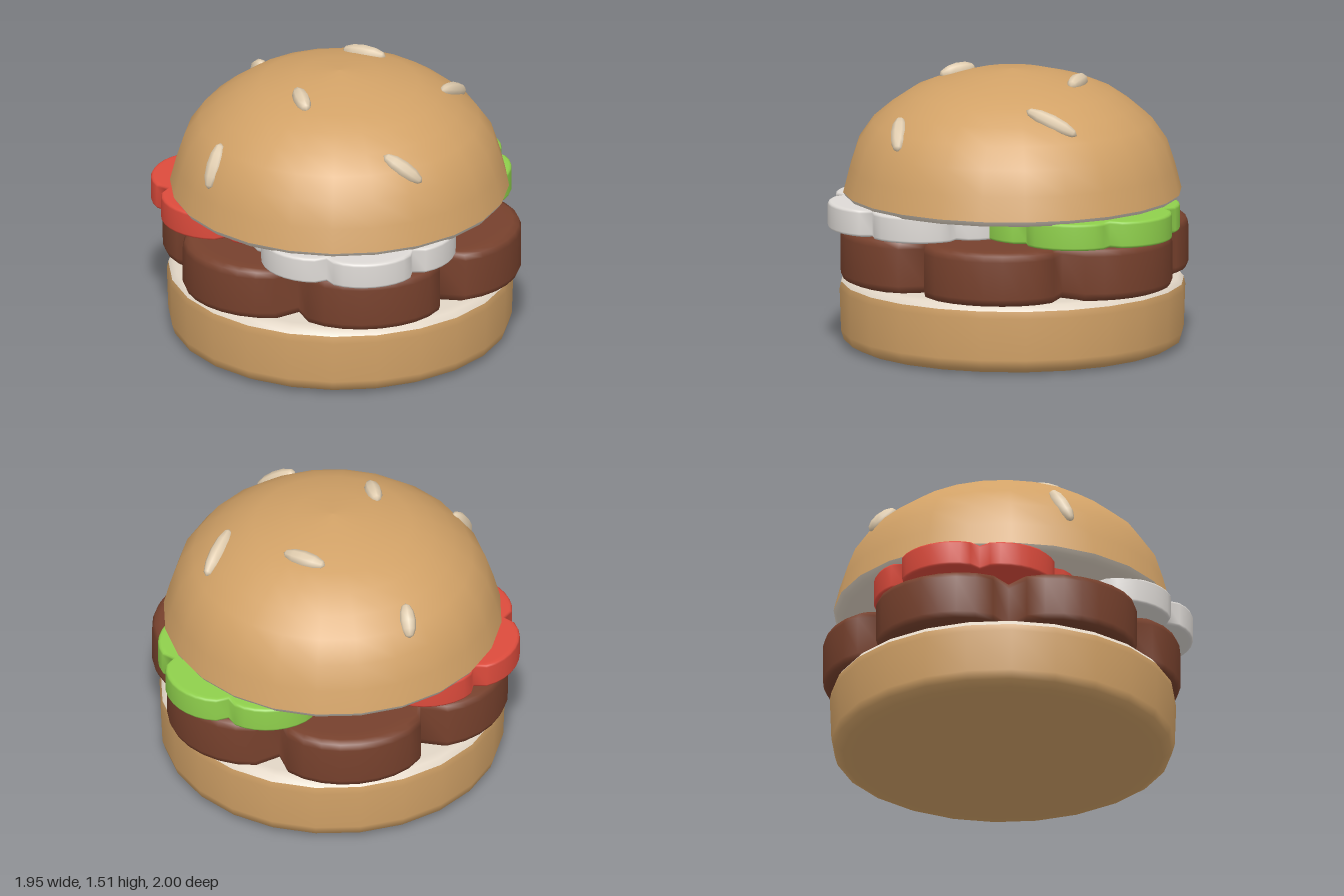
import * as THREE from 'three';
import { mergeVertices } from 'three/addons/utils/BufferGeometryUtils.js';

const material = (name, color) => {
  const m = new THREE.MeshStandardMaterial({ color });
  m.name = name;
  return m;
};

// Turned part from [radius, height] pairs, running bottom to top
function turned(profile, segments) {
  return new THREE.LatheGeometry(profile.map(([r, y]) => new THREE.Vector2(r, y)), segments);
}

// Rounded slab with six scalloped lobes, made by pushing a turned disc in and out
function lobedSlab(radius, y0, y1, bevel, notch) {
  const h = bevel / radius;
  const profile = [
    [0, y0], [1 - 2.2 * h, y0], [1 - h, y0], [1 - 0.3 * h, y0 + bevel * 0.3], [1, y0 + bevel],
    [1, y1 - bevel], [1 - 0.3 * h, y1 - bevel * 0.3], [1 - h, y1], [1 - 2.2 * h, y1], [0, y1],
  ];
  const g = turned(profile, 60);
  g.deleteAttribute('uv');
  g.deleteAttribute('normal');
  const p = g.attributes.position;
  for (let i = 0; i < p.count; i++) {
    const a = Math.atan2(p.getX(i), p.getZ(i));
    const lobe = Math.pow(Math.abs(Math.cos(3 * a)), 0.5);
    const r = radius * (notch + (1 - notch) * lobe);
    p.setX(i, p.getX(i) * r);
    p.setZ(i, p.getZ(i) * r);
  }
  const merged = mergeVertices(g, 1e-4);
  merged.computeVertexNormals();
  return merged;
}

export function createModel() {
  const group = new THREE.Group();
  const crust = material('golden crust', 0xd2a267);
  const crumb = material('cream crumb', 0xe2d6c6);
  const meat = material('brown meat', 0x77412d);
  const green = material('lettuce green', 0x8fd04c);
  const red = material('tomato red', 0xdd4b3c);
  const white = material('onion white', 0xdedad6);
  const seedColor = material('pale seed', 0xe0ccae);

  const add = (name, geometry, mat, x = 0, y = 0, z = 0) => {
    const mesh = new THREE.Mesh(geometry, mat);
    mesh.name = name;
    mesh.position.set(x, y, z);
    group.add(mesh);
    return mesh;
  };
  const bunZ = -0.028;

  // Bottom bun: crust and cut face
  add('bottomBunCrust', turned([
    [0, 0], [0.82, 0], [0.87, 0.005], [0.915, 0.03], [0.93, 0.08], [0.938, 0.31], [0.93, 0.35],
  ], 24), crust, 0.003, 0, bunZ);
  add('bottomBunCutFace', turned([[0.93, 0.35], [0.905, 0.38], [0.86, 0.387], [0, 0.387]], 24),
    crumb, 0.003, 0, bunZ);

  // Patty
  const patty = add('patty', lobedSlab(0.968, 0.383, 0.677, 0.045, 0.78), meat, 0.015, 0, -0.035);
  patty.scale.x = 1.03;

  // Scalloped vegetable slices, slightly staggered in height
  [
    ['onionSlice', white, -0.03, 0.45, 0],
    ['lettuceLeaf', green, 0.44, -0.265, 0.001],
    ['tomatoSlice', red, -0.44, -0.2, 0.002],
  ].forEach(([name, mat, x, z, lift]) => {
    const slice = add(name, lobedSlab(0.55, 0.675, 0.82, 0.015, 0.84), mat, x, lift, z);
    slice.scale.x = 1.03;
  });

  // Top bun: cut face and dome
  const dome = [
    [0.918, 0.84], [0.885, 0.97], [0.84, 1.11], [0.76, 1.225], [0.66, 1.31],
    [0.55, 1.385], [0.43, 1.435], [0.22, 1.49], [0, 1.51],
  ];
  add('topBunCutFace', turned([[0, 0.808], [0.86, 0.808], [0.9, 0.813], [0.918, 0.84]], 24),
    crumb, 0, 0, bunZ);
  add('topBunDome', turned(dome, 24), crust, 0, 0, bunZ);

  // Height of the dome above a point
  const domePoint = (x, z) => {
    const r = Math.hypot(x, z - bunZ);
    let i = 1;
    while (i < dome.length - 1 && dome[i][0] > r) i++;
    const [r0, y0] = dome[i - 1], [r1, y1] = dome[i];
    return new THREE.Vector3(x, y0 + (y1 - y0) * (r - r0) / (r1 - r0), z);
  };

  // Sesame seeds, each laid between two points on the dome
  const seedGeometry = new THREE.SphereGeometry(1, 8, 6);
  [
    [-0.30, -0.76, -0.30, -0.63],
    [0.11, -0.40, 0.30, -0.26],
    [0.55, 0.08, 0.71, -0.14],
    [-0.80, 0.30, -0.71, 0.20],
    [-0.255, 0.29, -0.265, 0.10],
    [0.10, 0.65, 0.28, 0.73],
  ].forEach(([x0, z0, x1, z1]) => {
    const a = domePoint(x0, z0), b = domePoint(x1, z1);
    const axis = b.clone().sub(a);
    const mid = a.clone().add(b).multiplyScalar(0.5);
    const seed = add('sesameSeed', seedGeometry, seedColor, mid.x, mid.y + 0.005, mid.z);
    seed.scale.set(0.046, axis.length() / 2 + 0.008, 0.046);
    seed.quaternion.setFromUnitVectors(new THREE.Vector3(0, 1, 0), axis.normalize());
  });

  return group;
}
